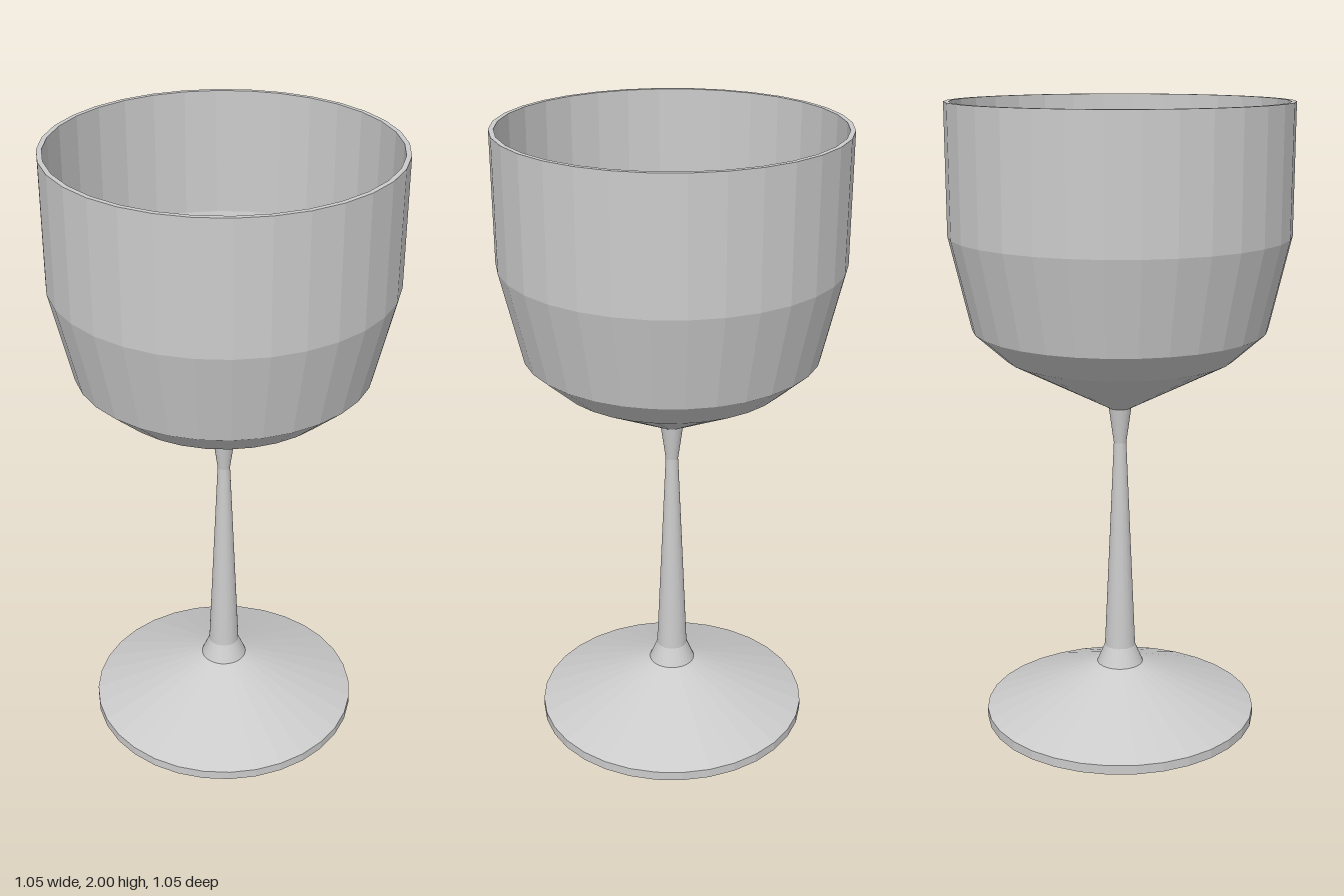
import * as THREE from 'three';

const SIDES = 32;

// Revolve a [radius, height] profile around the y axis as a faceted surface
function turned(name, profile) {
  const points = profile.map(([r, y]) => new THREE.Vector2(r, y));
  const material = new THREE.MeshStandardMaterial({
    color: 0xcccccc,
    flatShading: true,
    side: THREE.DoubleSide,
  });
  const mesh = new THREE.Mesh(new THREE.LatheGeometry(points, SIDES), material);
  mesh.name = name;
  return mesh;
}

export function createModel() {
  const goblet = new THREE.Group();
  goblet.name = 'goblet';

  // Low conical foot with a thin vertical edge and flat underside
  goblet.add(turned('foot', [[0, 0], [0.442, 0], [0.442, 0.03], [0.075, 0.18]]));

  // Slender stem, flared at both ends
  goblet.add(turned('stem', [[0.075, 0.18], [0.05, 0.24], [0.02, 0.935], [0.036, 1.05]]));

  // Thin-walled bowl: up the outside, over the rim, down the inside
  goblet.add(turned('bowl', [
    [0.036, 1.05], [0.36, 1.22], [0.46, 1.31], [0.527, 1.6], [0.527, 2],
    [0.512, 2], [0.512, 1.6], [0.445, 1.32], [0.355, 1.235], [0.235, 1.168],
    [0.037, 1.065], [0, 1.065],
  ]));

  return goblet;
}
